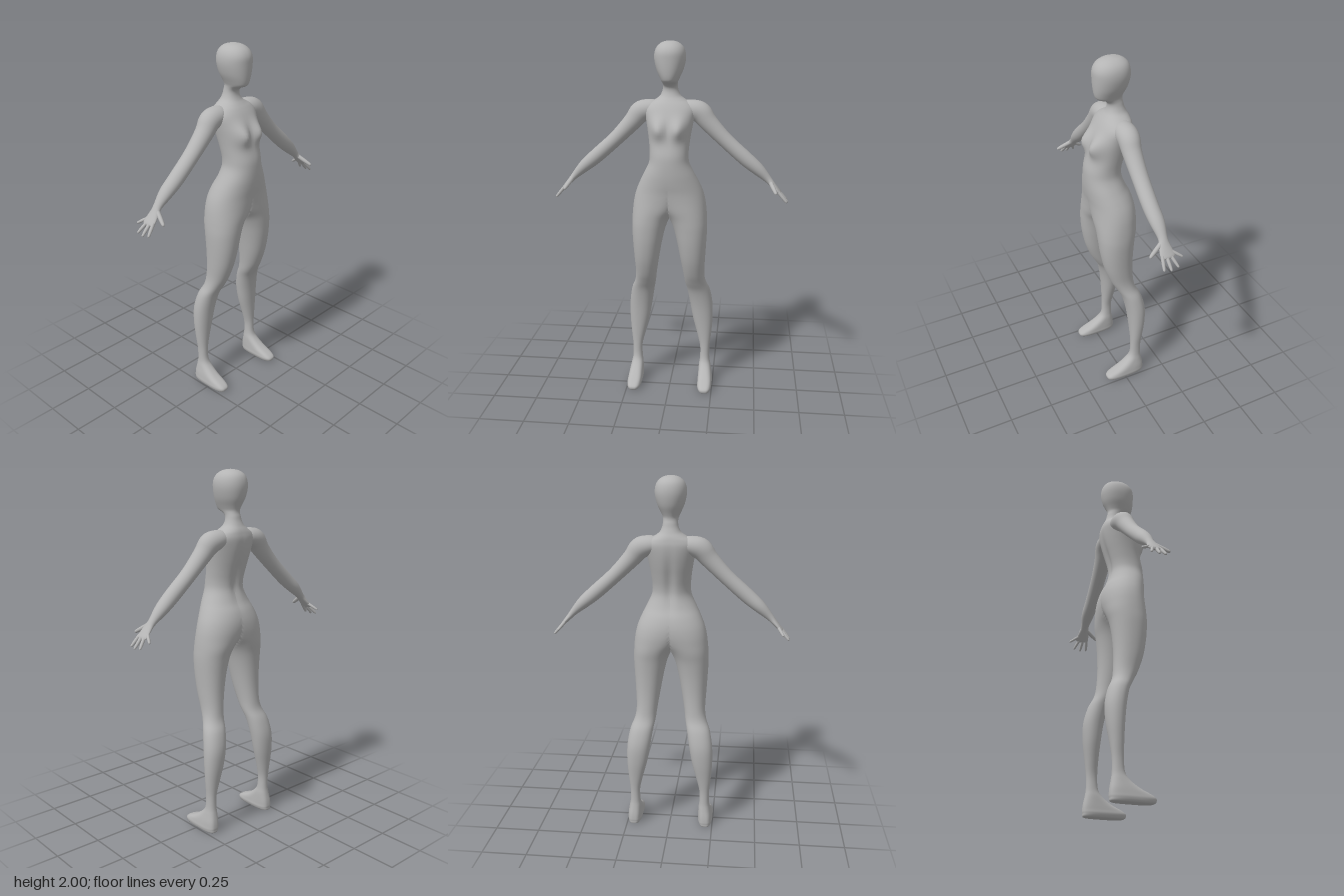
import * as THREE from 'three';

const SEGMENTS = 64, STEPS = 4;

// Smooth interpolation through rows of numbers, STEPS samples per span.
function smoothRows(rows) {
  const out = [];
  const at = (i) => rows[Math.min(Math.max(i, 0), rows.length - 1)];
  for (let i = 0; i < rows.length - 1; i++) {
    const [p, a, b, q] = [at(i - 1), at(i), at(i + 1), at(i + 2)];
    for (let s = 0; s < STEPS; s++) {
      const t = s / STEPS;
      out.push(a.map((v, k) => v + 0.5 * t * (b[k] - p[k] +
        t * (2 * p[k] - 5 * v + 4 * b[k] - q[k] + t * (3 * (v - b[k]) + q[k] - p[k])))));
    }
  }
  out.push(rows[rows.length - 1]);
  return out;
}

// Skin closed rings of points; the open sides are left to the end rings.
function skin(rings) {
  const n = rings[0].length, index = [];
  const geometry = new THREE.BufferGeometry().setFromPoints(rings.flat());
  const inPlane = (k) => rings[Math.floor(k / n)][k % n].x === 0;
  const face = (...t) => { if (!t.every(inPlane)) index.push(...t); };
  for (let i = 0; i < rings.length - 1; i++) {
    for (let j = 0; j < n; j++) {
      const a = i * n + j, b = i * n + (j + 1) % n;
      face(a, a + n, b);
      face(b, a + n, b + n);
    }
  }
  geometry.setIndex(index);
  geometry.computeVertexNormals();
  return geometry;
}

function mirrored(geometry) {
  const copy = geometry.clone().scale(-1, 1, 1);
  const ids = copy.index.array;
  for (let i = 0; i < ids.length; i += 3) [ids[i], ids[i + 1]] = [ids[i + 1], ids[i]];
  return copy;
}

// Limb along a path of [x, y, z, thickness radius, z radius].
function limb(rows, sides) {
  const path = smoothRows(rows);
  const centres = path.map((r) => new THREE.Vector3(r[0], r[1], r[2]));
  return skin(path.map((r, i) => {
    const T = centres[Math.min(i + 1, path.length - 1)].clone()
      .sub(centres[Math.max(i - 1, 0)]).normalize();
    const N = T.clone().cross(new THREE.Vector3(0, 0, 1)).normalize();
    const B = N.clone().cross(T);
    return Array.from({ length: sides }, (_, j) => {
      const a = (j / sides) * Math.PI * 2;
      return centres[i].clone().addScaledVector(N, Math.cos(a) * r[3])
        .addScaledVector(B, Math.sin(a) * r[4]);
    });
  }));
}

// Half-body sections from sole to crown: [y, inner x, outer x, front z, back z].
// A negative inner x is cut at the middle, so the two halves join.
const LEG = [
  [0, 0.207, 0.208, 0, -0.01], [0, 0.178, 0.24, 0.095, -0.112], [0.02, 0.166, 0.25, 0.115, -0.124],
  [0.04, 0.166, 0.249, 0.098, -0.125], [0.07, 0.167, 0.245, 0.035, -0.122],
  [0.11, 0.169, 0.237, -0.02, -0.115], [0.15, 0.174, 0.23, -0.045, -0.11],
  [0.22, 0.174, 0.23, -0.05, -0.111], [0.3, 0.156, 0.238, -0.048, -0.121],
  [0.4, 0.13, 0.245, -0.041, -0.135], [0.5, 0.112, 0.243, -0.029, -0.138],
  [0.59, 0.097, 0.228, -0.008, -0.118], [0.65, 0.085, 0.205, 0.022, -0.09],
  [0.71, 0.077, 0.196, 0.053, -0.08], [0.8, 0.062, 0.2, 0.085, -0.076],
  [0.9, 0.044, 0.206, 0.105, -0.08], [0.99, 0.022, 0.21, 0.114, -0.09], [1.05, -0.006, 0.208, 0.117, -0.102],
];
const TORSO = [
  [1.1, -0.055, 0.204, 0.12, -0.109], [1.15, -0.1, 0.197, 0.122, -0.113], [1.2, -0.135, 0.184, 0.126, -0.11],
  [1.25, -0.15, 0.163, 0.134, -0.097], [1.3, -0.134, 0.138, 0.139, -0.073],
  [1.36, -0.11, 0.11, 0.14, -0.057], [1.41, -0.105, 0.105, 0.136, -0.06],
  [1.47, -0.11, 0.11, 0.12, -0.075], [1.53, -0.119, 0.119, 0.107, -0.092],
  [1.59, -0.13, 0.13, 0.09, -0.105], [1.64, -0.138, 0.138, 0.066, -0.11],
  [1.67, -0.118, 0.118, 0.047, -0.106], [1.69, -0.085, 0.085, 0.031, -0.1], [1.71, -0.058, 0.058, 0.016, -0.09],
];
const HEAD = [
  [1.735, -0.045, 0.045, 0.007, -0.08], [1.758, -0.04, 0.04, 0.01, -0.075], [1.775, -0.04, 0.04, 0.03, -0.071],
  [1.79, -0.044, 0.044, 0.066, -0.072], [1.81, -0.053, 0.053, 0.078, -0.08],
  [1.85, -0.071, 0.071, 0.084, -0.099], [1.9, -0.083, 0.083, 0.086, -0.11],
  [1.94, -0.082, 0.082, 0.084, -0.108], [1.97, -0.069, 0.069, 0.068, -0.095],
  [1.99, -0.045, 0.045, 0.04, -0.068], [1.998, -0.02, 0.02, 0.01, -0.036], [2, 0, 0, -0.013, -0.013],
];

const bell = (v, centre, width) => Math.exp(-(((v - centre) / width) ** 2));
const rounded = (v, p) => Math.sign(v) * Math.abs(v) ** p;

function bodyRing([y, xi, xo, zf, zb]) {
  // Feet are boxier in plan than the rest of the body.
  const p = THREE.MathUtils.lerp(0.65, 0.93, THREE.MathUtils.smoothstep(y, 0.04, 0.15));
  return Array.from({ length: SEGMENTS }, (_, j) => {
    const a = (j / SEGMENTS) * Math.PI * 2, s = Math.sin(a);
    let x = (xi + xo) / 2 + rounded(Math.cos(a), p) * (xo - xi) / 2;
    if (x < 1e-5) x = 0;
    let z = (zf + zb) / 2 + rounded(s, p) * (zf - zb) / 2;
    // Bust in front, spine groove behind.
    if (s > 0) z += 0.042 * s * bell(x, 0.06, 0.042) * bell(y, 1.545, 0.05);
    else z -= 0.014 * s * bell(x, 0, 0.025) * bell(y, 1.45, 0.14);
    return new THREE.Vector3(x, Math.max(y, 0), z);
  });
}

// One continuous half skin, split by rows into leg, torso and head.
function bodyParts() {
  const whole = skin(smoothRows([...LEG, ...TORSO, ...HEAD]).map(bodyRing));
  const pos = whole.attributes.position, nor = whole.attributes.normal;
  const v = new THREE.Vector3();
  for (let i = 0; i < pos.count; i++) {
    if (pos.getX(i) !== 0) continue;
    v.fromBufferAttribute(nor, i).setX(0).normalize(); // smooth across the middle
    nor.setXYZ(i, v.x, v.y, v.z);
  }
  const cuts = [0, LEG.length, LEG.length + TORSO.length, 999].map((k) => k * STEPS * SEGMENTS);
  return ['leg', 'torsoHalf', 'headHalf'].map((name, k) => {
    const part = whole.clone(), ids = [];
    for (let i = 0; i < whole.index.count; i += 3) {
      const t = [0, 1, 2].map((c) => whole.index.getX(i + c));
      const first = Math.min(...t);
      if (first >= cuts[k] && first < cuts[k + 1]) ids.push(...t);
    }
    part.setIndex(ids);
    return [name, part];
  });
}

// Shoulder to palm.
const ARM = [
  [0.04, 1.645, -0.035, 0.02, 0.025], [0.075, 1.643, -0.035, 0.043, 0.05], [0.12, 1.638, -0.034, 0.053, 0.058],
  [0.165, 1.62, -0.032, 0.058, 0.057], [0.21, 1.567, -0.028, 0.049, 0.05],
  [0.3, 1.475, -0.027, 0.041, 0.044], [0.41, 1.377, -0.027, 0.04, 0.042],
  [0.48, 1.318, -0.031, 0.034, 0.038], [0.535, 1.265, -0.031, 0.021, 0.025],
  [0.56, 1.238, -0.028, 0.016, 0.03], [0.588, 1.207, -0.028, 0.012, 0.038],
  [0.604, 1.189, -0.03, 0.009, 0.037], [0.609, 1.183, -0.03, 0.001, 0.015],
];

// Base point, tip point, radius.
const FINGERS = [
  ['thumb', [0.553, 1.245, -0.012], [0.582, 1.2, 0.063], 0.012],
  ['indexFinger', [0.594, 1.2, 0], [0.643, 1.142, 0.012], 0.0095],
  ['middleFinger', [0.594, 1.2, -0.022], [0.65, 1.137, -0.026], 0.0095],
  ['ringFinger', [0.594, 1.2, -0.042], [0.645, 1.142, -0.068], 0.009],
  ['littleFinger', [0.586, 1.209, -0.055], [0.613, 1.175, -0.107], 0.0085],
];

function finger(base, tip, r) {
  const row = ([t, s]) => [...base.map((b, k) => THREE.MathUtils.lerp(b, tip[k], t)), r * s, r * s];
  return limb([[0, 1], [0.5, 0.95], [0.85, 0.75], [0.96, 0.5], [1, 0.02]].map(row), 14);
}

export function createModel() {
  const skinGrey = new THREE.MeshStandardMaterial({ color: 0xb4b4b4 });
  skinGrey.name = 'plain grey';
  const model = new THREE.Group();
  model.name = 'figure';

  const parts = [
    ...bodyParts(),
    ['arm', limb(ARM, 40)],
    ...FINGERS.map(([name, base, tip, r]) => [name, finger(base, tip, r)]),
  ];
  for (const [side, place] of [['left', (g) => g], ['right', mirrored]]) {
    const half = new THREE.Group();
    half.name = `${side}Side`;
    for (const [name, geometry] of parts) {
      const mesh = new THREE.Mesh(place(geometry), skinGrey);
      mesh.name = side + name[0].toUpperCase() + name.slice(1);
      half.add(mesh);
    }
    model.add(half);
  }
  return model;
}
